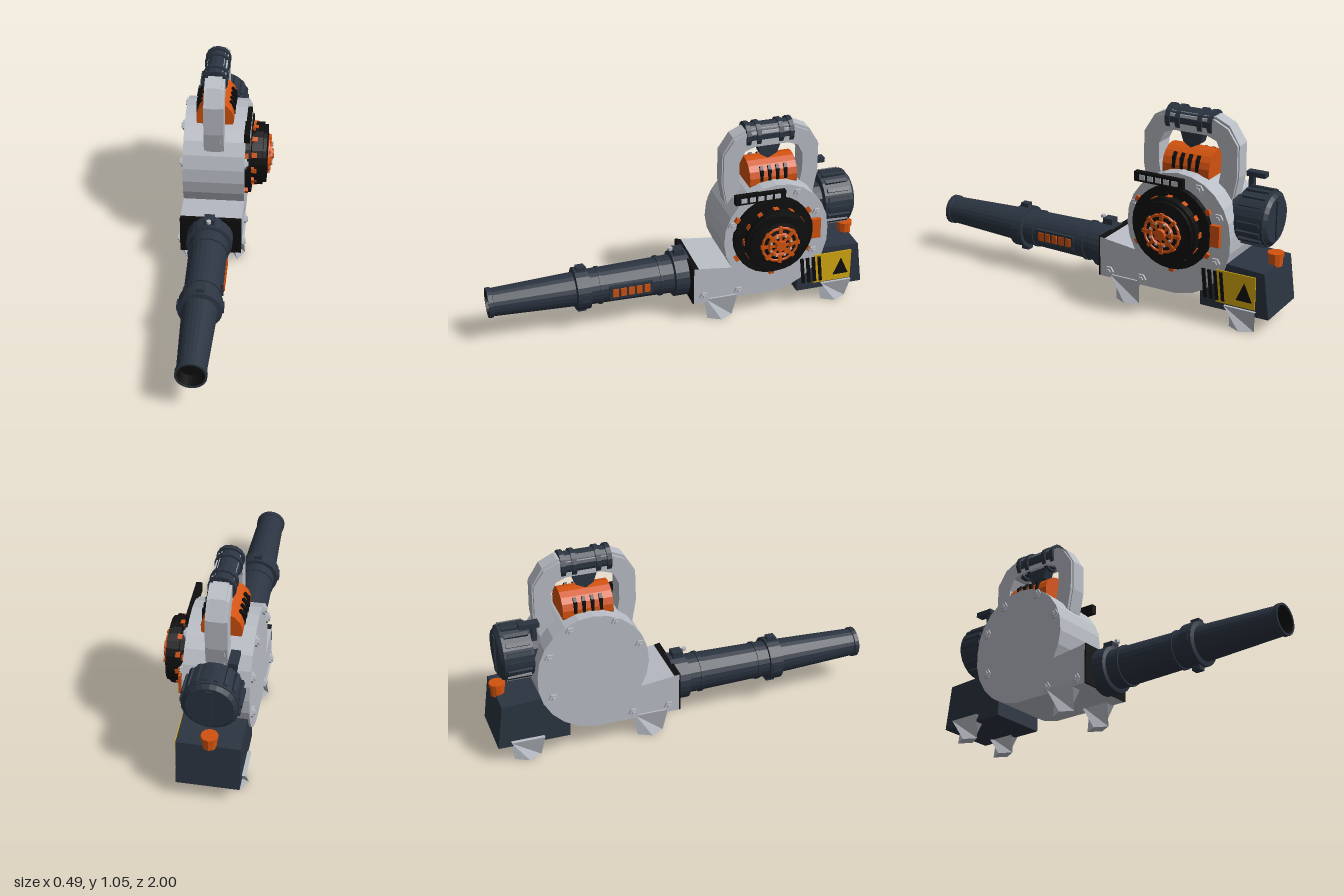
import * as THREE from 'three';

const mat = (name, color) => Object.assign(new THREE.MeshStandardMaterial({ color, flatShading: true }), { name });

export function createModel() {
  const root = new THREE.Group();
  const grey = mat('light grey casing', 0xb8bcc4), navy = mat('dark slate plastic', 0x2b3441);
  const orange = mat('orange trim', 0xd2520f), black = mat('black rubber', 0x0e0e0e);
  const yellow = mat('warning yellow', 0xd4a810);
  const CX = -0.07; // centre plane of the machine

  const add = (name, geo, m, x = 0, y = 0, z = 0, parent = root) => {
    const mesh = new THREE.Mesh(geo, m);
    mesh.name = name;
    mesh.position.set(x, y, z);
    parent.add(mesh);
    return mesh;
  };
  const box = (name, m, w, h, d, x, y, z) => add(name, new THREE.BoxGeometry(w, h, d), m, x, y, z);
  const cylX = (r1, r2, l, n) => new THREE.CylinderGeometry(r1, r2, l, n).rotateZ(-Math.PI / 2);
  const cylZ = (r1, r2, l, n) => new THREE.CylinderGeometry(r1, r2, l, n).rotateX(Math.PI / 2);
  const lathe = (pts, n) => new THREE.LatheGeometry(pts.map(p => new THREE.Vector2(p[0], p[1])), n);
  // side profile in (-z, y), extruded along x from x0 to x1
  const side = (pts, x0, x1) => new THREE.ExtrudeGeometry(
    new THREE.Shape(pts.map(p => new THREE.Vector2(p[0], p[1]))), { depth: x1 - x0, bevelEnabled: false })
    .rotateY(Math.PI / 2).translate(x0, 0, 0);

  // Fan housing: round scroll that opens into the outlet duct
  const volute = [[0.055, 0.33], [0.055, 0.12]];
  for (let i = 0; i <= 20; i++) {
    const a = -Math.PI / 2 + i / 20 * Math.PI * 1.68;
    const r = 0.335 - 0.05 * Math.min(1, i / 6);
    volute.push([0.5 + r * Math.cos(a), 0.462 + (r + 0.007) * Math.sin(a)]);
  }
  add('fanHousing', side(volute, -0.23, 0.095), grey);
  add('ductTop', side([[0.05, 0.334], [0.05, 0.325], [0.27, 0.27], [0.27, 0.283]], -0.229, 0.094), black);
  box('ductFront', black, 0.325, 0.212, 0.008, -0.0675, 0.226, -0.052);

  // Hex bolts on both sides
  const bolts = [[0.11, 0.155], [0.3, 0.155], [0.71, 0.33], [0.72, 0.56], [0.61, 0.69], [0.38, 0.7], [0.26, 0.55]];
  for (const [u, v] of bolts) for (const s of [-1, 1]) {
    const x = s < 0 ? -0.234 : 0.1;
    add('boltWasher', cylX(0.028, 0.028, 0.012, 6), grey, x, v, -u);
    add('boltHead', cylX(0.015, 0.015, 0.02, 6), grey, x + s * 0.004, v, -u);
  }

  // Feet: rectangular top twisting into a diamond-shaped sole
  function footGeometry(h) {
    const t = [[-0.035, -0.085], [-0.035, 0.085], [0.035, 0.085], [0.035, -0.085]].map(p => [p[0], h, p[1]]);
    const b = [[-0.036, 0], [0, 0.068], [0.036, 0], [0, -0.068]].map(p => [p[0], 0, p[1]]);
    const v = [];
    for (let i = 0; i < 4; i++) {
      const j = (i + 1) % 4;
      v.push(...t[i], ...b[i], ...b[j], ...t[i], ...b[j], ...t[j]);
    }
    v.push(...b[0], ...b[2], ...b[1], ...b[0], ...b[3], ...b[2]);
    v.push(...t[0], ...t[1], ...t[2], ...t[0], ...t[2], ...t[3]);
    const g = new THREE.BufferGeometry();
    g.setAttribute('position', new THREE.Float32BufferAttribute(v, 3));
    g.computeVertexNormals();
    return g;
  }
  for (const x of [-0.205, 0.07]) {
    add('frontFoot', footGeometry(0.14), grey, x, 0, -0.205);
    add('rearFoot', footGeometry(0.12), grey, x, 0, -0.85);
  }

  // Fuel tank and cap
  add('fuelTank', side([[0.63, 0.09], [1.0, 0.09], [0.97, 0.325], [0.77, 0.335], [0.63, 0.2]], -0.22, 0.09), navy);
  add('fuelCap', new THREE.CylinderGeometry(0.036, 0.036, 0.06, 10), orange, CX, 0.345, -0.955);
  add('fuelCapRim', new THREE.CylinderGeometry(0.042, 0.042, 0.02, 10), orange, CX, 0.372, -0.955);

  // Warning plate, triangle and hazard stripes
  add('warningPlate', side([[0.72, 0.13], [0.93, 0.13], [0.93, 0.3], [0.72, 0.3]], 0.094, 0.101), yellow);
  add('warningTriangle', side([[0.83, 0.165], [0.915, 0.165], [0.872, 0.26]], 0.101, 0.105), black);
  for (let i = 0; i < 4; i++) {
    const u = 0.645 + i * 0.032;
    add('hazardStripe', side([[u + 0.01, 0.14], [u + 0.028, 0.14], [u + 0.012, 0.29], [u - 0.006, 0.29]], 0.096, 0.104), black);
  }

  // Ribbed air filter drum
  const drum = new THREE.Group();
  drum.name = 'airFilter';
  drum.position.set(CX, 0.55, 0);
  root.add(drum);
  add('filterDrum', cylZ(0.132, 0.138, 0.15, 24), navy, 0, 0, -0.86, drum);
  add('filterBack', cylZ(0.136, 0.115, 0.02, 24), navy, 0, 0, -0.942, drum);
  add('filterNeck', cylZ(0.09, 0.09, 0.08, 16), navy, 0, 0, -0.76, drum);
  for (let i = 0; i < 18; i++) {
    const a = i / 18 * Math.PI * 2;
    const rib = add('filterRib', new THREE.BoxGeometry(0.016, 0.02, 0.12), navy, 0.138 * Math.cos(a), 0.138 * Math.sin(a), -0.86, drum);
    rib.rotation.z = a;
  }
  add('filterRidge', new THREE.BoxGeometry(0.03, 0.2, 0.012), navy, 0, 0, -0.953, drum);

  // Choke lever
  box('leverArm', navy, 0.045, 0.025, 0.1, -0.16, 0.73, -0.8);
  box('leverPost', navy, 0.03, 0.1, 0.025, -0.155, 0.69, -0.775);

  // Loop handle: rectangular section swept between mirrored outer and inner arcs
  const outer = [[0.26, 0.62], [0.238, 0.74], [0.24, 0.9], [0.295, 0.99], [0.37, 1.025]];
  const inner = [[0.41, 0.93], [0.355, 0.91], [0.325, 0.85], [0.325, 0.76], [0.35, 0.62]];
  const mirrored = pts => pts.map(([u, v]) => [1.0 - u, v]).reverse();
  const loop = [...outer, ...mirrored(outer), ...mirrored(inner), ...inner];
  add('handle', side(loop, -0.105, -0.03), grey);
  const core = [...outer, ...mirrored(outer), ...mirrored(inner), ...inner]
    .map(([u, v]) => [0.5 + (u - 0.5) * 0.98, v - (v > 0.8 && (v > 0.96) ? 0.012 : 0)]);
  add('handleSides', side(core, -0.12, -0.015), grey);

  // Rubber grip and trigger
  add('grip', cylZ(0.058, 0.058, 0.24, 14), navy, CX, 0.982, -0.49);
  for (const z of [-0.375, -0.43, -0.55, -0.605])
    add('gripRing', cylZ(0.068, 0.068, 0.024, 14), navy, CX, 0.982, z);
  add('trigger', side([[0.43, 0.93], [0.45, 0.87], [0.49, 0.845], [0.54, 0.87], [0.56, 0.93]], -0.1, -0.04), navy);

  // Orange engine hump with cooling slots
  add('engineCover', cylZ(0.1, 0.1, 0.255, 18), orange, CX, 0.752, -0.5);
  for (const s of [-1, 1]) for (let i = 0; i < 4; i++) {
    const z = -0.435 - i * 0.043;
    box('coolingSlot', black, 0.018, 0.06, 0.016, CX + s * 0.094, 0.782, z);
    const top = box('coolingSlotTop', black, 0.012, 0.03, 0.016, CX + s * 0.086, 0.816, z);
    top.rotation.z = s * 0.7;
  }

  // Recoil starter: stepped black disc
  const starter = new THREE.Group();
  starter.name = 'recoilStarter';
  starter.position.set(0, 0.475, -0.475);
  root.add(starter);
  add('starterDisc', lathe([[0, 0.09], [0.215, 0.09], [0.215, 0.125], [0.15, 0.127], [0.15, 0.142], [0.17, 0.142],
    [0.17, 0.185], [0.158, 0.187], [0.158, 0.205], [0.12, 0.207], [0.04, 0.223], [0, 0.223]], 28).rotateZ(-Math.PI / 2), black, 0, 0, 0, starter);
  for (let i = 0; i < 12; i++) {
    const a = i / 12 * Math.PI * 2;
    const place = (name, w, h, d, x, r) => {
      const m = add(name, new THREE.BoxGeometry(w, h, d), orange, x, r * Math.cos(a), r * Math.sin(a), starter);
      m.rotation.x = a;
    };
    if (i % 2 === 0) place('outerTab', 0.02, 0.03, 0.026, 0.104, 0.22);
    place('innerTab', 0.035, 0.02, 0.026, 0.138, 0.162);
  }
  // Orange fan grille
  add('grilleRing', new THREE.TorusGeometry(0.095, 0.008, 6, 16).rotateY(Math.PI / 2), orange, 0.213, 0, 0, starter);
  add('grilleInnerRing', new THREE.TorusGeometry(0.058, 0.012, 6, 16).rotateY(Math.PI / 2), orange, 0.22, 0, 0, starter);
  add('grilleHub', cylX(0.028, 0.032, 0.036, 10), orange, 0.222, 0, 0, starter);
  for (let i = 0; i < 8; i++) {
    const a = i / 8 * Math.PI * 2, b = a + Math.PI / 8;
    const spoke = add('grilleSpoke', new THREE.BoxGeometry(0.014, 0.1, 0.018), orange, 0.217, 0.055 * Math.cos(a), 0.055 * Math.sin(a), starter);
    spoke.rotation.x = a;
    add('grilleRivet', cylX(0.007, 0.007, 0.008, 6), grey, 0.23, 0.058 * Math.cos(b), 0.058 * Math.sin(b), starter);
  }
  box('starterLatch', orange, 0.03, 0.11, 0.05, 0.105, 0.475, -0.712);

  // Status strip with light windows
  box('statusStrip', black, 0.03, 0.05, 0.27, 0.105, 0.706, -0.4);
  for (let i = 0; i < 5; i++)
    box('statusWindow', grey, 0.004, 0.026, 0.032, 0.121, 0.705, -0.31 - i * 0.045);

  // Blower tube and nozzle, open at the mouth
  const tube = lathe([[0, -0.06], [0.122, -0.06], [0.122, 0.025], [0.102, 0.03], [0.101, 0.09], [0.107, 0.09], [0.107, 0.105],
    [0.1, 0.105], [0.094, 0.41], [0.1, 0.41], [0.1, 0.425], [0.094, 0.425], [0.094, 0.475], [0.113, 0.475], [0.113, 0.545],
    [0.09, 0.55], [0.073, 0.975], [0.079, 0.977], [0.079, 1.0], [0.069, 1.0], [0.069, 0.94]], 24).rotateX(Math.PI / 2);
  add('blowerTube', tube, navy, CX, 0.225, 0);
  const mouth = lathe([[0.068, 0.998], [0.066, 0.93], [0, 0.93]], 24).rotateX(Math.PI / 2);
  add('nozzleMouth', mouth, black, CX, 0.225, 0);
  box('tubeLatch', navy, 0.055, 0.04, 0.055, CX, 0.355, -0.015);
  add('tubeLatchBolt', new THREE.CylinderGeometry(0.014, 0.014, 0.014, 6), grey, CX, 0.376, 0.025);
  for (const s of [-1, 1]) {
    box('collarClampV', navy, 0.04, 0.025, 0.045, CX, 0.225 + s * 0.12, 0.51);
    box('collarClampH', navy, 0.012, 0.04, 0.045, CX + s * 0.112, 0.225, 0.51);
  }

  // Vent panel on the tube
  box('ventPanel', navy, 0.02, 0.075, 0.23, 0.024, 0.225, 0.265);
  for (let i = 0; i < 5; i++)
    box('ventSlot', orange, 0.012, 0.045, 0.03, 0.034, 0.227, 0.18 + i * 0.042);

  return root;
}
